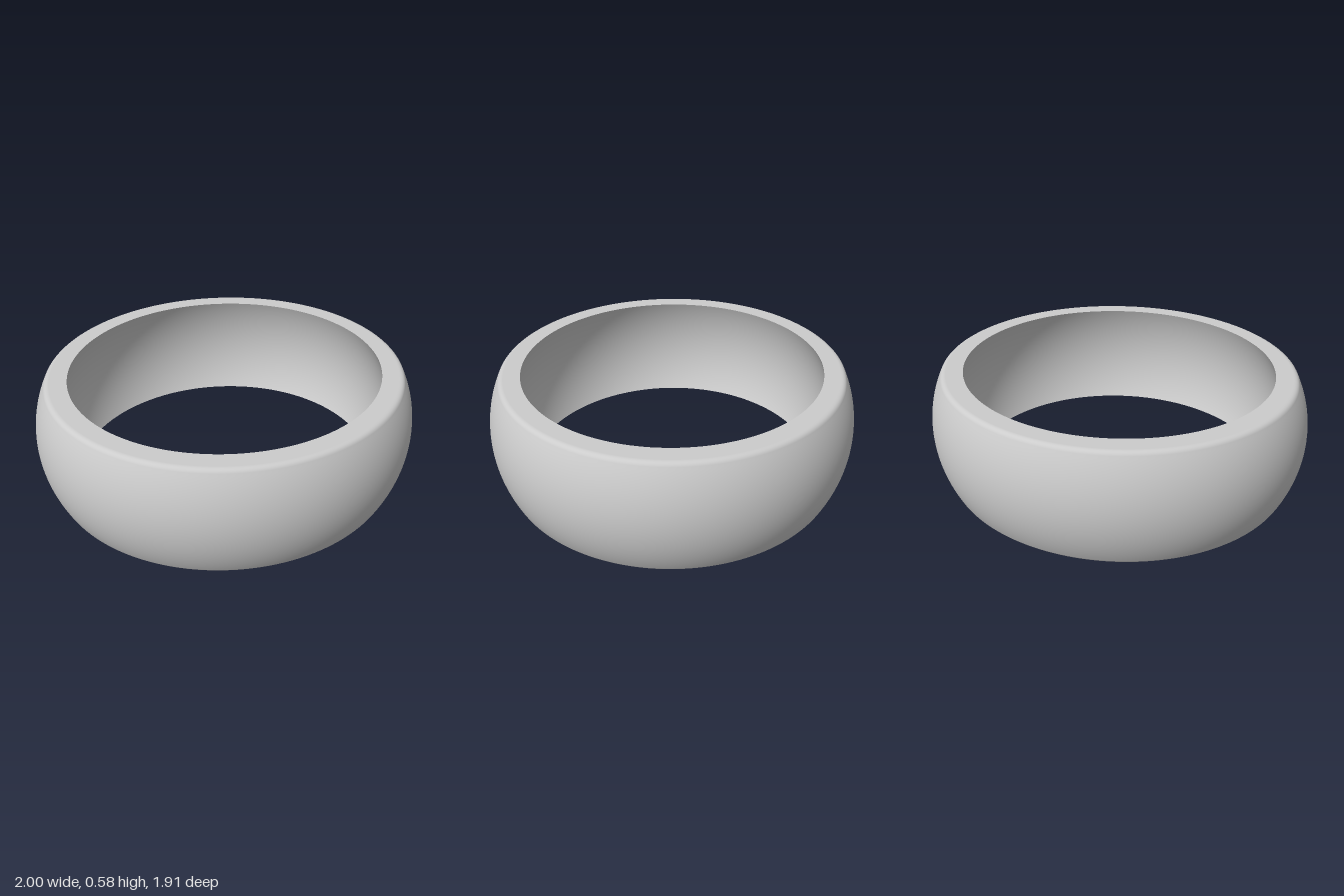
import * as THREE from 'three';

const HEIGHT = 0.585, MID = HEIGHT / 2;
const RIM = 0.815;      // inner radius at the rims
const DEPTH = 0.955;    // the band is slightly oval

export function createModel() {
  const band = new THREE.Group();
  band.name = 'ringBand';
  const material = new THREE.MeshStandardMaterial({ color: 0xcccccc });

  function addLathe(name, path) {
    const geometry = new THREE.LatheGeometry(path.getPoints(24), 160);
    geometry.scale(1, 1, DEPTH);
    const mesh = new THREE.Mesh(geometry, material);
    mesh.name = name;
    band.add(mesh);
  }

  // Domed outside with flat rims and softly rounded outer edges
  const R = 0.6, a = 0.471;
  const edgeX = 1 - R + R * Math.cos(a), edgeY = R * Math.sin(a);
  const outer = new THREE.Path();
  outer.moveTo(RIM, 0);
  outer.lineTo(0.86, 0);
  outer.lineTo(0.903, 0);
  outer.quadraticCurveTo(0.926, 0, edgeX, MID - edgeY);
  outer.absarc(1 - R, MID, R, -a, a, false);
  outer.quadraticCurveTo(0.926, HEIGHT, 0.903, HEIGHT);
  outer.lineTo(0.86, HEIGHT);
  outer.lineTo(RIM, HEIGHT);
  addLathe('outerBand', outer);

  // Hollowed inside wall, following the dome and meeting the rims at a crisp edge
  const bulge = 0.065;
  const r = (MID * MID + bulge * bulge) / (2 * bulge);
  const b = Math.asin(MID / r);
  const inner = new THREE.Path();
  inner.absarc(RIM + bulge - r, MID, r, b, -b, true);
  addLathe('innerWall', inner);

  return band;
}
